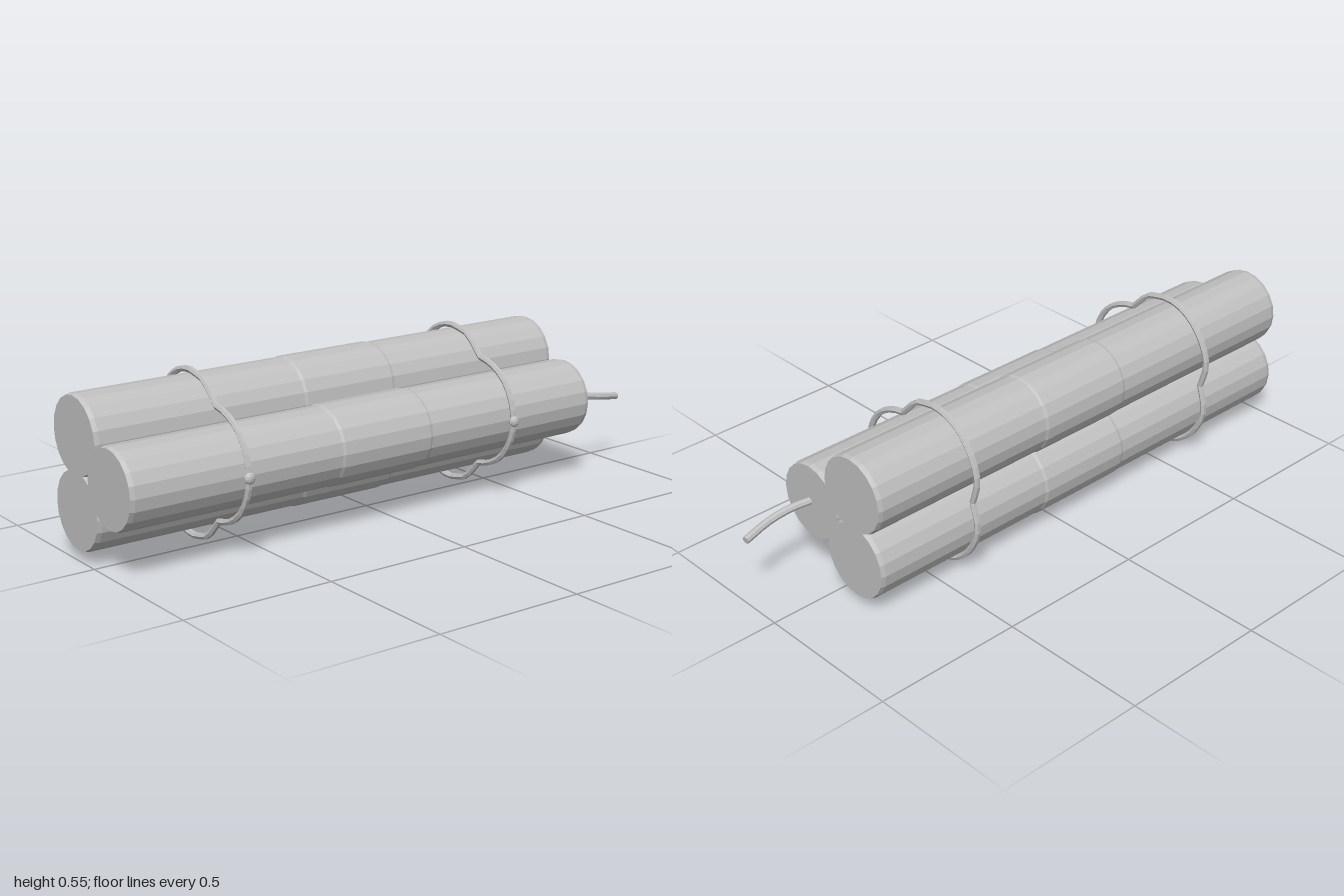
import * as THREE from 'three';

export function createModel() {
  const model = new THREE.Group();
  const grey = new THREE.MeshStandardMaterial({ color: 0xc0c0c0, flatShading: true });
  grey.name = 'plain grey';

  const add = (name, geometry, x = 0, y = 0, z = 0) => {
    const mesh = new THREE.Mesh(geometry, grey);
    mesh.name = name;
    mesh.position.set(x, y, z);
    model.add(mesh);
    return mesh;
  };

  // Three sticks with bevelled ends and a slightly thicker middle
  const midY = 0.276;
  const profile = [
    [0, -1], [0.124, -1], [0.128, -0.985], [0.128, -0.26], [0.131, -0.25],
    [0.131, 0.08], [0.128, 0.09], [0.128, 0.745], [0.124, 0.76], [0, 0.76],
  ].map(([r, h]) => new THREE.Vector2(r, h));
  const stick = new THREE.LatheGeometry(profile, 20);
  stick.rotateZ(-Math.PI / 2);
  add('frontStick', stick, 0, midY, 0.105);
  add('upperStick', stick, 0, midY + 0.115, -0.093);
  add('lowerStick', stick, 0, midY - 0.115, -0.093);

  // Wire ties: half outline as [z, height above the middle], mirrored below
  const half = [
    [0.245, 0.04], [0.228, 0.085], [0.195, 0.13], [0.155, 0.158], [0.115, 0.174],
    [0.077, 0.182], [0.05, 0.212], [0.01, 0.247], [-0.03, 0.258], [-0.07, 0.264],
    [-0.12, 0.256], [-0.17, 0.23], [-0.21, 0.19], [-0.24, 0.14], [-0.254, 0.085],
    [-0.246, 0.04],
  ];
  const outline = [
    [0.25, 0], ...half, [-0.233, 0],
    ...half.slice().reverse().map(([z, y]) => [z, -y]),
  ].map(([z, y]) => new THREE.Vector3(0, y, z));
  const tie = new THREE.TubeGeometry(new THREE.CatmullRomCurve3(outline, true), 48, 0.0105, 6, true);
  const knot = new THREE.SphereGeometry(0.019, 10, 8);
  knot.scale(1, 1, 0.65);
  for (const x of [-0.614, 0.41]) {
    add('wireTie', tie, x, midY, 0);
    add('tieKnot', knot, x, midY, 0.254);
  }

  // Bowed fuse with a closed tip
  const path = new THREE.CatmullRomCurve3([
    [0.74, 0.276, 0.108], [0.82, 0.27, 0.126], [0.9, 0.257, 0.132], [0.997, 0.24, 0.118],
  ].map((p) => new THREE.Vector3(...p)));
  add('fuse', new THREE.TubeGeometry(path, 8, 0.0125, 8));
  const tip = add('fuseTip', new THREE.CircleGeometry(0.0125, 8), 0.997, 0.24, 0.118);
  tip.quaternion.setFromUnitVectors(new THREE.Vector3(0, 0, 1), path.getTangent(1));

  return model;
}
